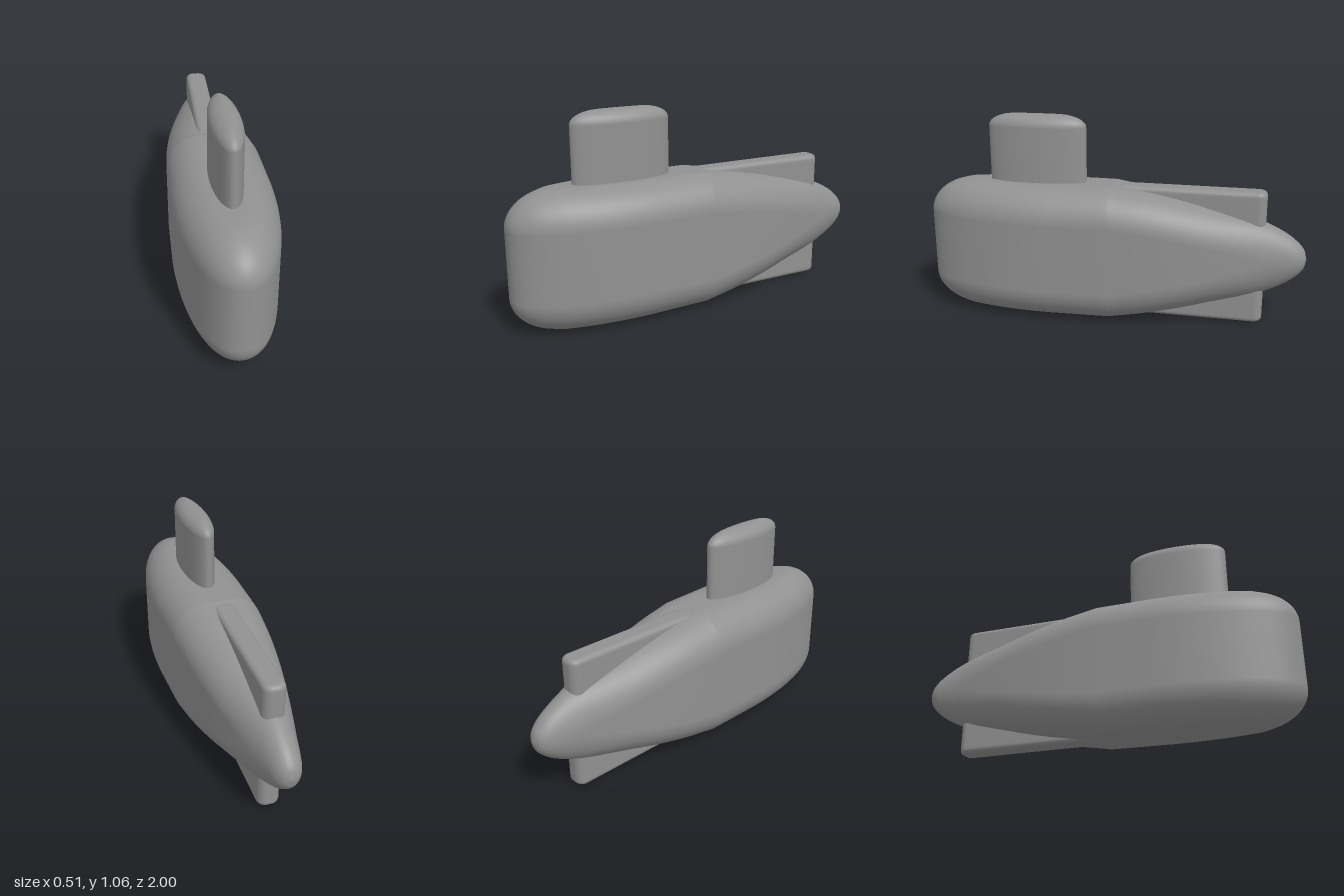
import * as THREE from 'three';
import { mergeVertices } from 'three/addons/utils/BufferGeometryUtils.js';

const MID = 0.355; // height of the hull axis

// Skin a list of closed rings (each the same number of Vector3s)
function loft(rings) {
  const n = rings[0].length, pos = [], index = [];
  rings.forEach(r => r.forEach(p => pos.push(p.x, p.y, p.z)));
  for (let i = 0; i < rings.length - 1; i++) {
    for (let j = 0; j < n; j++) {
      const a = i * n + j, b = i * n + (j + 1) % n;
      index.push(a, b, a + n, b, b + n, a + n);
    }
  }
  let g = new THREE.BufferGeometry();
  g.setAttribute('position', new THREE.Float32BufferAttribute(pos, 3));
  g.setIndex(index);
  g = mergeVertices(g, 1e-5);
  g.computeVertexNormals();
  return g;
}

// Rounded-rectangle section: half-width w, straight half-height s, corner radii rx, ry
function section(z, w, s, rx, ry) {
  const ring = [], K = 14;
  for (let q = 0; q < 4; q++) {
    const sx = q === 0 || q === 3 ? 1 : -1, sy = q < 2 ? 1 : -1;
    for (let k = 0; k <= K; k++) {
      const a = (q + k / K) * Math.PI / 2;
      ring.push(new THREE.Vector3(
        sx * (w - rx) + rx * Math.cos(a), MID + sy * s + ry * Math.sin(a), z));
    }
  }
  return ring;
}

function hullGeometry() {
  const rings = [];
  // tail and midbody: (z, half-width, half-height)
  const aft = new THREE.CatmullRomCurve3([
    [-1, 0, 0], [-0.985, 0.039, 0.052], [-0.95, 0.066, 0.092], [-0.9, 0.083, 0.13],
    [-0.79, 0.112, 0.185], [-0.6, 0.159, 0.238], [-0.4, 0.2, 0.285], [-0.2, 0.229, 0.324],
    [-0.03, 0.244, 0.35], [0, 0.246, 0.355], [0.04, 0.248, 0.355], [0.32, 0.255, 0.355]
  ].map(p => new THREE.Vector3(...p)), false, 'centripetal');
  for (let i = 0; i <= 88; i++) {
    const p = aft.getPoint(i / 88);
    const w = Math.max(0, p.y), h = Math.min(MID, Math.max(0, p.z));
    const ry = Math.min(h, 0.18);
    rings.push(section(p.x, w, h - ry, Math.min(w, 0.18), ry));
  }
  // bow: full, nearly elliptical plan with a rounded rim
  for (let i = 1; i <= 40; i++) {
    const t = i / 40 * Math.PI / 2;
    const z = 0.32 + 0.68 * Math.sin(t), w = 0.255 * Math.cos(t) ** 0.9;
    const u = Math.min(1, Math.max(0, (z - 0.75) / 0.25));
    rings.push(section(z, w, 0.175, Math.min(w, 0.18), 0.18 * Math.sqrt(1 - u * u)));
  }
  return loft(rings);
}

// Elliptical tower whose top closes to a ridge
function towerGeometry() {
  const rings = [], N = 64, K = 14;
  const ring = (y, rx, rz) => {
    const r = [];
    for (let j = 0; j < N; j++) {
      const a = j / N * Math.PI * 2;
      r.push(new THREE.Vector3(rx * Math.sin(a), y, 0.405 + rz * Math.cos(a)));
    }
    return r;
  };
  rings.push(ring(0.6, 0.077, 0.26));
  for (let k = 0; k <= K; k++) {
    const a = k / K * Math.PI / 2;
    rings.push(ring(0.995 + 0.067 * Math.sin(a), 0.077 * Math.cos(a), 0.11 + 0.15 * Math.cos(a)));
  }
  return loft(rings);
}

// Upright plate with rounded ends and a softened outer edge
function finGeometry() {
  const rings = [], r = 0.045, hx = 0.057, hz = 0.385, e = 0.025, K = 8;
  const ring = (y, inset) => {
    const out = [], c = r - inset;
    for (let q = 0; q < 4; q++) {
      const sx = q < 2 ? 1 : -1, sz = q === 0 || q === 3 ? 1 : -1;
      for (let k = 0; k <= K; k++) {
        const a = (q + k / K) * Math.PI / 2;
        out.push(new THREE.Vector3(
          sx * (hx - r) + c * Math.sin(a), y, sz * (hz - r) + c * Math.cos(a)));
      }
    }
    return out;
  };
  rings.push(ring(0, 0));
  rings.push(ring(0.31, 0));
  for (let k = 0; k <= 6; k++) {
    const a = k / 6 * Math.PI / 2;
    rings.push(ring(0.326 + e * Math.sin(a), e * (1 - Math.cos(a))));
  }
  // flat outer face
  const centre = rings[0].map(() => new THREE.Vector3(0, 0.351, 0));
  rings.push(ring(0.351, e + 0.002), centre);
  return loft(rings);
}

export function createModel() {
  const group = new THREE.Group();
  const material = new THREE.MeshStandardMaterial({ color: 0x919191 });
  const add = (name, geometry) => {
    const mesh = new THREE.Mesh(geometry, material);
    mesh.name = name;
    group.add(mesh);
    return mesh;
  };

  add('hull', hullGeometry());
  add('conningTower', towerGeometry());

  // upper and lower tail fins, slightly yawed
  const fin = finGeometry();
  const upper = add('upperFin', fin);
  upper.position.set(-0.009, MID, -0.403);
  upper.rotation.y = -0.022;
  const lower = add('lowerFin', fin);
  lower.position.set(0, MID + 0.003, -0.407);
  lower.rotation.set(0, -0.022, Math.PI);

  return group;
}
